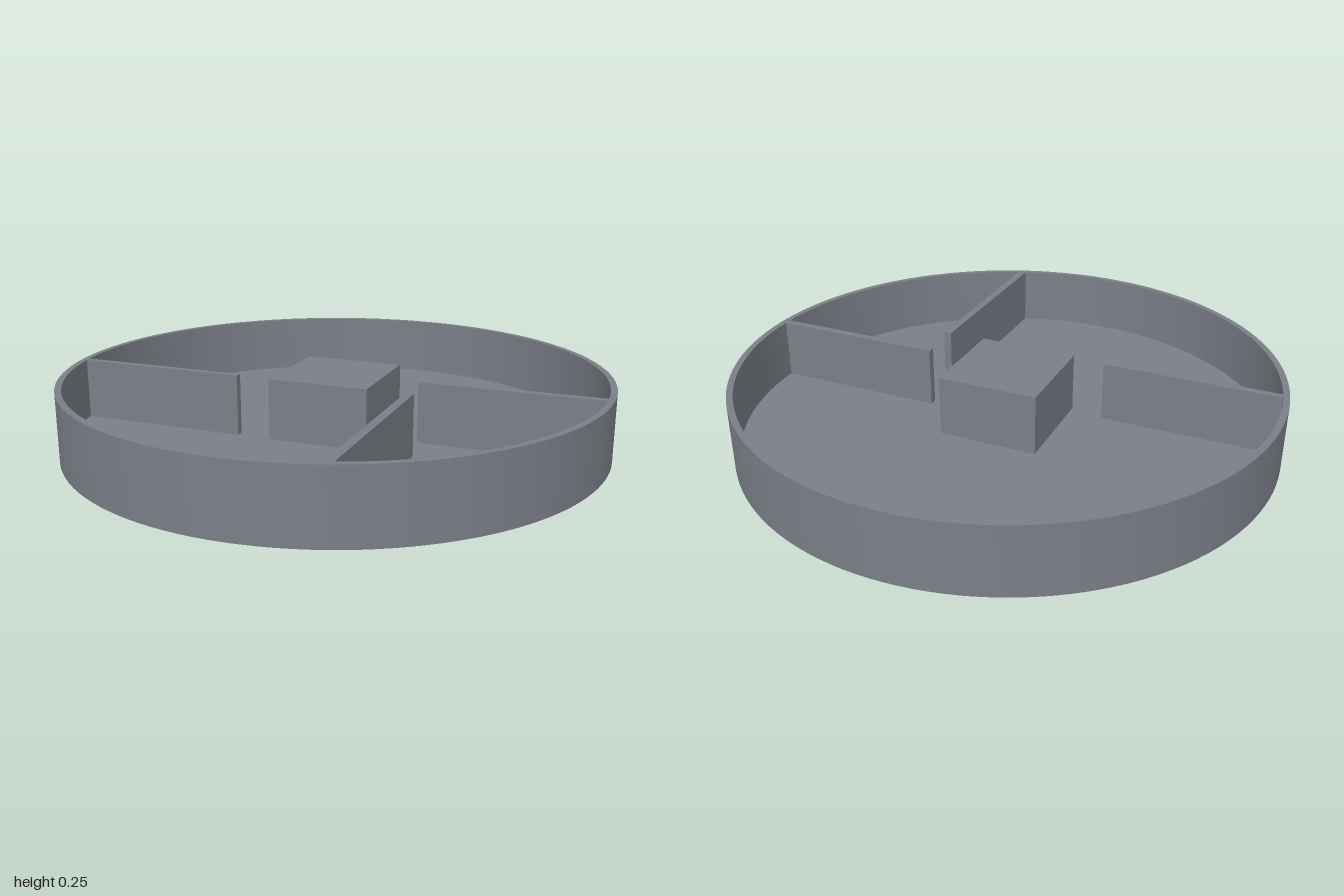
import * as THREE from 'three';
import { toCreasedNormals } from 'three/addons/utils/BufferGeometryUtils.js';

const HEIGHT = 0.252;
const FLOOR = 0.027;
const INNER = 0.977;

export function createModel() {
  const group = new THREE.Group();
  const material = new THREE.MeshStandardMaterial({ color: 0x7a7f87 });

  function add(name, geometry) {
    const mesh = new THREE.Mesh(geometry, material);
    mesh.name = name;
    group.add(mesh);
    return mesh;
  }

  // Box standing in the tray, flush with the rim, given by its plan extents
  function addBlock(name, x0, x1, z0, z1) {
    const bottom = FLOOR / 2; // sunk into the floor
    const mesh = add(name, new THREE.BoxGeometry(x1 - x0, HEIGHT - bottom, z1 - z0));
    mesh.position.set((x0 + x1) / 2, (HEIGHT + bottom) / 2, (z0 + z1) / 2);
  }

  // Round tray: underside, outer wall, rim, inner wall and floor
  const profile = [
    [0, 0], [1, 0], [1, HEIGHT], [INNER, HEIGHT], [INNER, FLOOR], [0, FLOOR],
  ].map(([r, y]) => new THREE.Vector2(r, y));
  add('tray', toCreasedNormals(new THREE.LatheGeometry(profile, 128), Math.PI / 6));

  // Central square block
  addBlock('centreBlock', -0.187, 0.187, -0.187, 0.187);

  // Thin partitions, their outer ends buried in the wall
  addBlock('leftPartition', 0.325, 0.985, 0, 0.029);
  addBlock('rightPartition', -0.975, -0.313, 0.16, 0.187);
  addBlock('frontPartition', 0.325, 0.355, 0.178, 0.93);

  return group;
}
